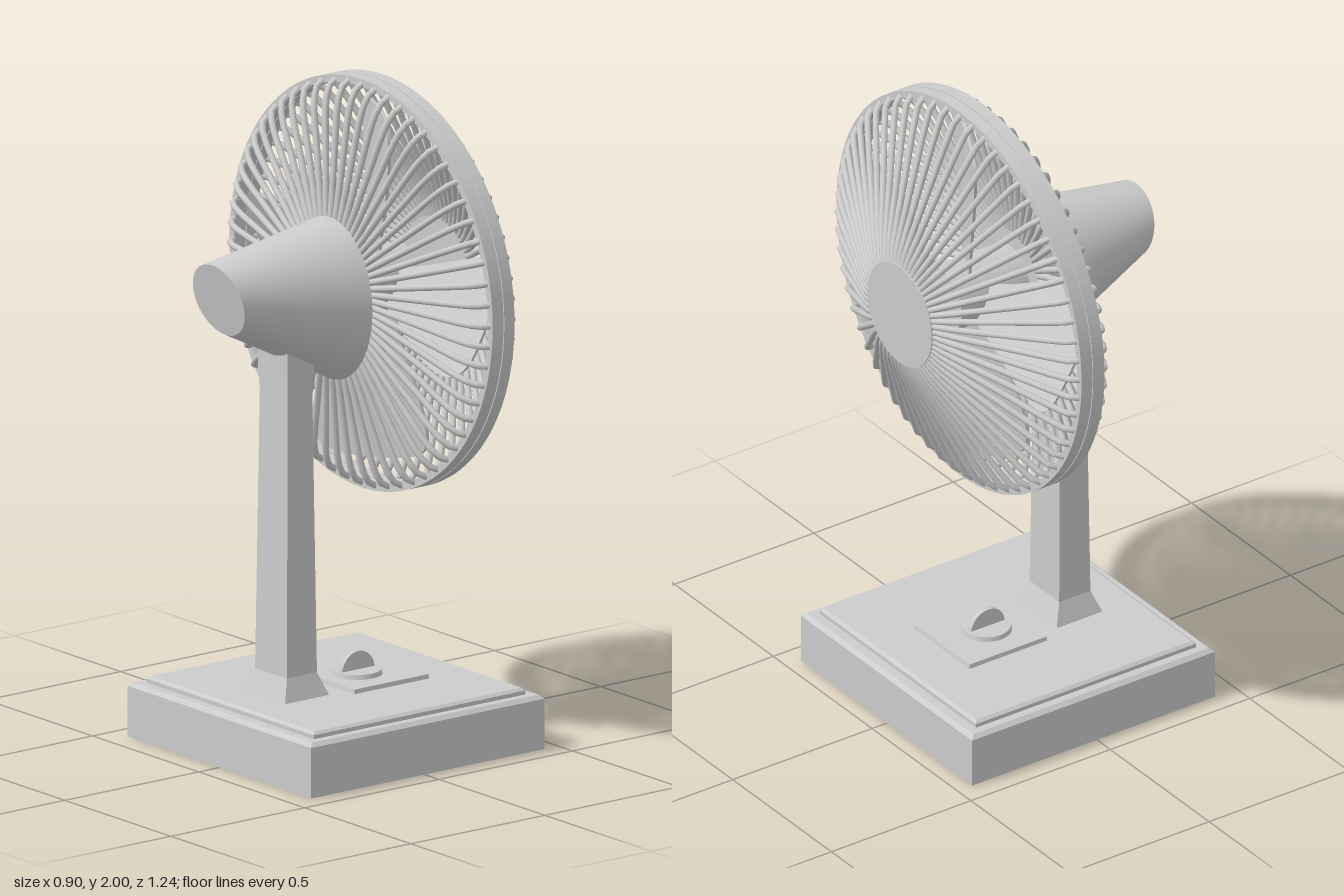
import * as THREE from 'three';

const grey = new THREE.MeshStandardMaterial({ color: 0xcccccc });

function add(parent, name, geometry, x = 0, y = 0, z = 0) {
  const mesh = new THREE.Mesh(geometry, grey);
  mesh.name = name;
  mesh.position.set(x, y, z);
  parent.add(mesh);
  return mesh;
}

// Rectangular frustum standing on y = 0: bottom w0 x d0, top w1 x d1
function frustum(w0, d0, w1, d1, h) {
  const g = new THREE.BoxGeometry(1, h, 1).toNonIndexed();
  const p = g.attributes.position;
  for (let i = 0; i < p.count; i++) {
    const top = p.getY(i) > 0;
    p.setXYZ(i, p.getX(i) * (top ? w1 : w0), p.getY(i) + h / 2, p.getZ(i) * (top ? d1 : d0));
  }
  g.computeVertexNormals();
  return g;
}

// Disc or drum along the head's z axis
function drum(r, z0, z1) {
  return new THREE.CylinderGeometry(r, r, z1 - z0, 48).rotateX(Math.PI / 2).translate(0, 0, (z0 + z1) / 2);
}

function ring(rOuter, rInner, z0, z1) {
  const s = new THREE.Shape().absarc(0, 0, rOuter, 0, Math.PI * 2);
  s.holes.push(new THREE.Path().absarc(0, 0, rInner, 0, Math.PI * 2, true));
  return new THREE.ExtrudeGeometry(s, { depth: z1 - z0, bevelEnabled: false, curveSegments: 60 }).translate(0, 0, z0);
}

// Wire through [radius, z] points, repeated round the axis
function cage(parent, name, points, count) {
  const group = new THREE.Group();
  group.name = name;
  const curve = new THREE.CatmullRomCurve3(points.map(([r, z]) => new THREE.Vector3(0, r, z)), false, 'centripetal');
  const wire = new THREE.TubeGeometry(curve, 14, 0.01, 8);
  for (let i = 0; i < count; i++) add(group, 'wire', wire).rotation.z = (i / count) * Math.PI * 2;
  parent.add(group);
}

// Pitched blade with rounded tip, pointing up from the hub
function bladeGeometry() {
  const s = new THREE.Shape();
  s.moveTo(-0.05, 0.06);
  s.bezierCurveTo(-0.08, 0.2, -0.16, 0.26, -0.18, 0.42);
  s.bezierCurveTo(-0.185, 0.5, -0.15, 0.53, -0.09, 0.535);
  s.quadraticCurveTo(0.01, 0.545, 0.1, 0.525);
  s.bezierCurveTo(0.15, 0.515, 0.16, 0.48, 0.145, 0.42);
  s.bezierCurveTo(0.13, 0.32, 0.07, 0.2, 0.05, 0.06);
  const g = new THREE.ExtrudeGeometry(s, { depth: 0.01, bevelEnabled: false, curveSegments: 10 });
  const p = g.attributes.position;
  for (let i = 0; i < p.count; i++) p.setZ(i, p.getZ(i) + 0.155 + 0.5 * p.getX(i));
  g.computeVertexNormals();
  return g;
}

// Tapered motor housing: upright oval mouth, smaller slanted oval back
function housingGeometry() {
  const g = new THREE.CylinderGeometry(1, 1, 1, 64, 1);
  const p = g.attributes.position;
  for (let i = 0; i < p.count; i++) {
    const u = p.getX(i), v = p.getZ(i);
    if (p.getY(i) > 0) p.setXYZ(i, -0.01, 1.355 + 0.245 * u, -0.2 * v);
    else p.setXYZ(i, -0.425 - 0.025 * u, 1.42 + 0.11 * u, -0.118 * v);
  }
  // Reversed winding keeps faces outward after the axis swap
  const a = new THREE.Vector3(), b = new THREE.Vector3(), c = new THREE.Vector3();
  const mid = new THREE.Vector3(-0.21, 1.385, 0);
  const idx = g.index;
  for (let i = 0; i < idx.count; i += 3) {
    [a, b, c].forEach((q, k) => q.fromBufferAttribute(p, idx.getX(i + k)));
    const n = b.clone().sub(a).cross(c.clone().sub(a));
    if (n.dot(a.clone().sub(mid)) < 0) {
      const t = idx.getX(i + 1);
      idx.setX(i + 1, idx.getX(i + 2));
      idx.setX(i + 2, t);
    }
  }
  g.computeVertexNormals();
  return g;
}

export function createModel() {
  const model = new THREE.Group();
  model.name = 'deskFan';

  // Stepped base
  const bx = 0.0125;
  add(model, 'base', frustum(0.87, 0.865, 0.87, 0.865, 0.153), bx);
  add(model, 'baseBevel', frustum(0.87, 0.865, 0.845, 0.84, 0.012), bx, 0.153);
  add(model, 'basePlate', frustum(0.79, 0.79, 0.79, 0.79, 0.012), bx, 0.165);
  add(model, 'basePlateBevel', frustum(0.79, 0.79, 0.77, 0.77, 0.008), bx, 0.177);

  // Control plate with dial and half-round grip
  const kx = 0.09;
  add(model, 'controlPlate', frustum(0.28, 0.28, 0.275, 0.275, 0.014), 0.11, 0.184);
  add(model, 'dial', new THREE.CylinderGeometry(0.072, 0.075, 0.014, 40), kx, 0.205);
  const half = new THREE.Shape().absarc(0, 0, 0.06, 0, Math.PI);
  add(model, 'dialGrip', new THREE.ExtrudeGeometry(half, { depth: 0.016, bevelEnabled: false, curveSegments: 24 }), kx, 0.207, -0.008);

  // Post with flared foot and top collar
  const px = -0.174;
  add(model, 'postFoot', frustum(0.165, 0.2, 0.112, 0.15, 0.07), px, 0.183);
  add(model, 'post', frustum(0.112, 0.15, 0.09, 0.13, 0.93), px, 0.253);
  add(model, 'postCollar', frustum(0.1, 0.14, 0.1, 0.14, 0.09), px, 1.16);

  add(model, 'motorHousing', housingGeometry());

  // Fan head, local z axis pointing along +x
  const head = new THREE.Group();
  head.name = 'fanHead';
  head.position.y = 1.38;
  head.rotation.y = Math.PI / 2;
  model.add(head);

  add(head, 'rearDisc', drum(0.163, -0.012, 0.006));
  add(head, 'frontDisc', drum(0.163, 0.385, 0.402));
  add(head, 'rearRim', ring(0.62, 0.597, 0.106, 0.146));
  add(head, 'rimSeam', ring(0.616, 0.6, 0.145, 0.151));
  add(head, 'frontRim', ring(0.62, 0.597, 0.15, 0.188));
  cage(head, 'frontCage', [[0.607, 0.18], [0.596, 0.2], [0.565, 0.218], [0.4, 0.293], [0.2, 0.38], [0.155, 0.392]], 60);
  cage(head, 'rearCage', [[0.607, 0.115], [0.59, 0.085], [0.55, 0.066], [0.4, 0.04], [0.22, 0.012], [0.155, 0.002]], 60);

  // Rotor
  add(head, 'rotorHub', drum(0.1, 0.0, 0.25));
  const blade = bladeGeometry();
  for (let i = 0; i < 4; i++) add(head, 'blade', blade).rotation.z = (i * Math.PI) / 2;

  return model;
}
